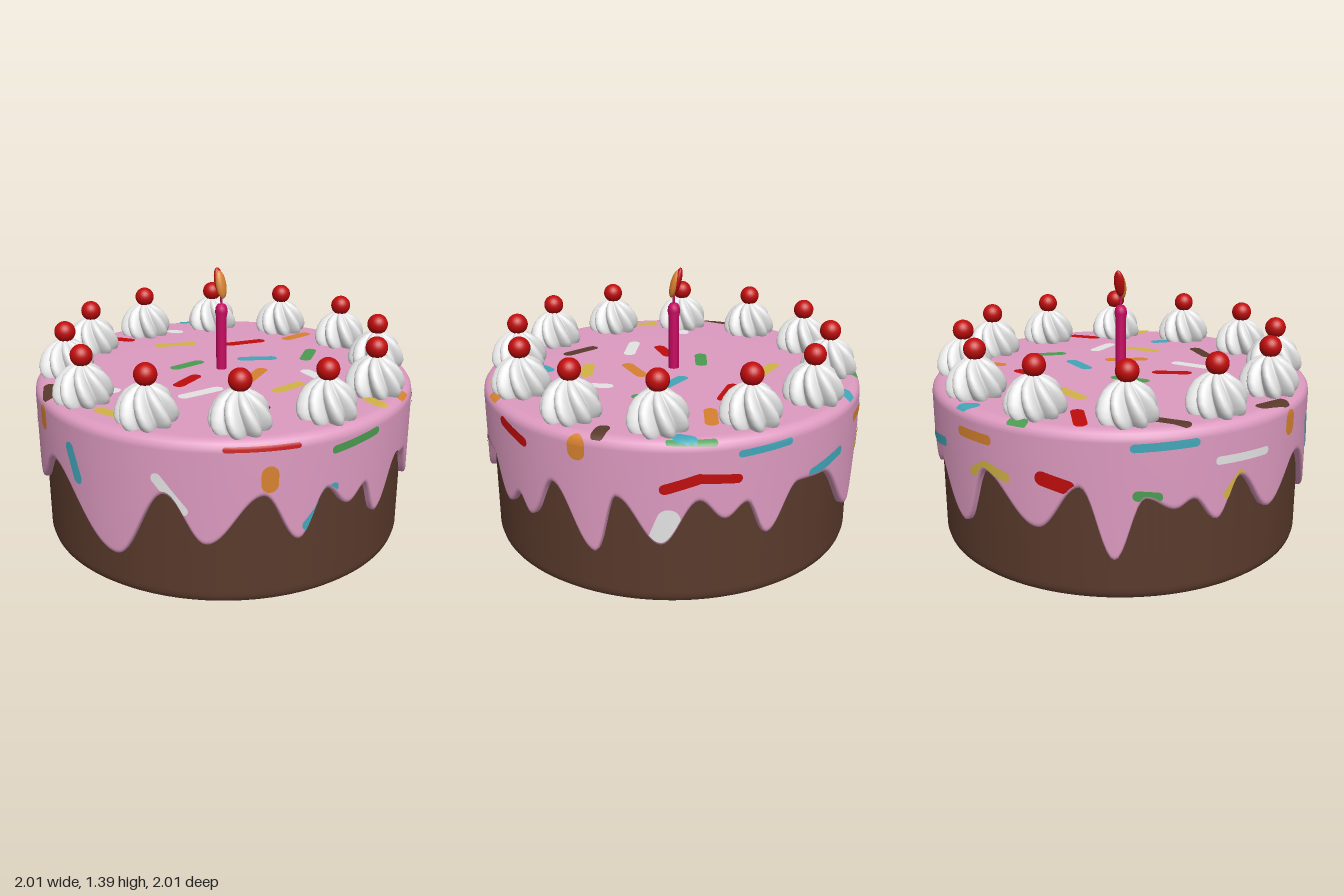
import * as THREE from 'three';

const mat = (name, color) => Object.assign(new THREE.MeshStandardMaterial({ color }), { name });
const RAD = Math.PI / 180;

// Drip outline of the icing: angle from the front in degrees, height of the lower edge
const DRIPS = [[-70, .21], [-55, .57], [-44, .33], [-29, .57], [-19, .33], [-11, .56], [-3.4, .45], [3, .52],
  [8, .34], [19, .56], [26, .55], [36, .35], [42, .43], [47, .35], [56, .57], [69, .26], [75, .56], [87, .33],
  [97, .55], [104, .45], [110, .52], [116, .34], [126, .56], [136, .55], [154, .26], [164, .57], [181, .35],
  [193, .57], [202, .22], [210, .52], [218, .46], [223, .5], [230, .38], [237, .57], [249, .36], [264, .56], [290, .21]];

function dripEdge(deg) {
  const a = ((deg + 70) % 360 + 360) % 360 - 70;
  let i = 0;
  while (i < DRIPS.length - 2 && DRIPS[i + 1][0] < a) i++;
  const [[a0, y0], [a1, y1]] = [DRIPS[i], DRIPS[i + 1]];
  const t = (a - a0) / (a1 - a0);
  return y0 + (y1 - y0) * (1 - Math.cos(Math.PI * t)) / 2;
}

// Rounded shoulder of the icing: radius, height
const SHOULDER = [[0, .845], [.5, .845], [.94, .845], [.965, .84], [.985, .828], [.996, .812], [1, .79]];

function shoulderY(r) {
  for (let i = 1; i < SHOULDER.length; i++) {
    const [r0, y0] = SHOULDER[i - 1], [r1, y1] = SHOULDER[i];
    if (r <= r1) return y0 + (y1 - y0) * (r - r0) / (r1 - r0);
  }
  return .79;
}

function shoulderR(y) {
  for (let i = SHOULDER.length - 1; i > 2; i--) {
    const [r0, y0] = SHOULDER[i - 1], [r1, y1] = SHOULDER[i];
    if (y <= y0) return y <= y1 ? 1 : r1 + (r0 - r1) * (y - y1) / (y0 - y1);
  }
  return .94;
}

// Surface of cols x rows points; with wrap, the last column joins the first
function grid(cols, rows, point, wrap) {
  const pos = [], idx = [];
  for (let i = 0; i < cols; i++) for (let j = 0; j < rows; j++) pos.push(...point(i, j));
  for (let i = 0; i < (wrap ? cols : cols - 1); i++) {
    for (let j = 0; j < rows - 1; j++) {
      const a = i * rows + j, d = ((i + 1) % cols) * rows + j;
      idx.push(a, a + 1, d + 1, a, d + 1, d);
    }
  }
  const g = new THREE.BufferGeometry();
  g.setAttribute('position', new THREE.Float32BufferAttribute(pos, 3));
  g.setIndex(idx);
  g.computeVertexNormals();
  return g;
}

function icingGeometry() {
  const N = 360;
  return grid(N, SHOULDER.length + 5, (i, j) => {
    const deg = i * 360 / N, e = dripEdge(deg);
    const lip = [[1, e + .03], [1, e + .018], [.995, e + .004], [.985, e], [.955, e]];
    const [r, y] = j < SHOULDER.length ? SHOULDER[j] : lip[j - SHOULDER.length];
    return [r * Math.sin(deg * RAD), y, r * Math.cos(deg * RAD)];
  }, true);
}

// Flat capsule from (u0,v0) to (u1,v1), laid on a surface by the map function
function sprinkleGeometry(u0, v0, u1, v1, w, map) {
  const len = Math.hypot(u1 - u0, v1 - v0) || 1e-4;
  const du = (u1 - u0) / len, dv = (v1 - v0) / len, h = w / 2;
  const stations = [];
  for (let k = 0; k <= 5; k++) stations.push([-h * Math.cos(k * Math.PI / 10), h * Math.sin(k * Math.PI / 10)]);
  for (let k = 1; k < 10; k++) stations.push([len * k / 10, h]);
  for (let k = 5; k >= 0; k--) stations.push([len + h * Math.cos(k * Math.PI / 10), h * Math.sin(k * Math.PI / 10)]);
  return grid(stations.length, 5, (i, j) => {
    const [t, half] = stations[i], s = half * (1 - j / 2);
    return map(u0 + du * t - dv * s, v0 + dv * t + du * s);
  }, false);
}

const onTop = (x, v) => {
  const r = Math.hypot(x, v), k = Math.min(r, .99) / (r || 1);
  return [x * k * 1.002, shoulderY(Math.min(r, .99)) + .004, -v * k * 1.002];
};
const onSide = (a, v) => {
  const y = Math.min(.84, Math.max(v, dripEdge(a / RAD) + .018)), r = shoulderR(y) + .004;
  return [r * Math.sin(a), y + .001, r * Math.cos(a)];
};

// Piped cream star: eight twisted ribs around a dome
function creamGeometry() {
  const profile = [[.0, 1.035], [.03, 1.03], [.06, 1.015], [.09, .99], [.112, .955], [.126, .915], [.13, .88], [.124, .855], [.115, .84]];
  const N = 96;
  return grid(N, profile.length, (i, j) => {
    const a = i / N * Math.PI * 2, [r, y] = profile[j];
    const rib = Math.abs(Math.cos(4 * a));
    const rr = r * (.8 + .36 * Math.pow(rib, 1.1)), twist = a + (1.035 - y) * 3;
    return [rr * Math.sin(twist), y, rr * Math.cos(twist)];
  }, true);
}

const lathe = (pts, seg) => new THREE.LatheGeometry(pts.map(p => new THREE.Vector2(...p)), seg);

export function createModel() {
  const M = {
    brown: mat('chocolate brown', 0x5a3a2c), pink: mat('icing pink', 0xdd9ac0), white: mat('cream white', 0xe4e4e4),
    red: mat('cherry red', 0xc00c0c), magenta: mat('candle magenta', 0xc80a62), orange: mat('orange', 0xd8822f),
    green: mat('green', 0x4a9c50), yellow: mat('yellow', 0xd2b445), cyan: mat('cyan', 0x42a6b8)
  };
  const model = new THREE.Group();
  const add = (name, geometry, material, parent = model) => {
    const m = new THREE.Mesh(geometry, material);
    m.name = name;
    parent.add(m);
    return m;
  };

  // Cake body and icing
  add('cakeBody', lathe([[0, 0], [.9, 0], [.925, 0], [.945, .005], [.958, .016], [.965, .04], [.965, .06], [.965, .8]], 128), M.brown);
  add('icing', icingGeometry(), M.pink);

  // Sprinkles on top: x0, z0, x1, z1
  const top = {
    red: [[-.2, -.9, -.11, -.75], [.3, -.31, .48, -.25], [-.35, .07, -.21, .02], [.44, .61, .57, .6]],
    brown: [[-.62, -.71, -.48, -.71], [-.34, .46, -.23, .58], [.85, .31, .91, .33], [-.87, -.33, -.94, -.21]],
    yellow: [[-.03, -.55, .13, -.46], [-.02, .45, .13, .45], [.23, .91, .24, .83], [-.85, .12, -.82, .22]],
    green: [[-.2, -.16, -.05, -.16], [.45, .17, .58, .08], [.06, -.97, .1, -.97]],
    cyan: [[.18, -.05, .31, .04], [0, .7, .05, .66], [.38, -.86, .44, -.88], [.95, -.03, .97, -.08]],
    orange: [[.64, -.18, .79, -.18], [-.03, .24, .13, .16], [.4, .88, .45, .87]],
    white: [[-.43, .22, -.24, .24], [.28, .48, .3, .33], [.2, -.74, .22, -.71], [-.67, -.07, -.65, -.07]]
  };
  // Sprinkles on the side: angle0, y0, angle1, y1, width
  const side = {
    red: [[-39, .805, -20, .805, .025], [36, .775, 46, .725, .05], [88, .615, 97, .665, .05], [97, .665, 107, .65, .045],
      [183, .6, 190, .57, .07]],
    green: [[-9, .75, 6, .775, .04], [89, .835, 101, .828, .025], [208, .54, 213, .53, .05]],
    orange: [[-27.5, .68, -27.5, .63, .08], [64.5, .79, 64.5, .76, .09], [155, .73, 166, .73, .05], [258, .77, 258, .72, .08]],
    white: [[-57, .65, -50, .5, .05], [89, .46, 87, .37, .11], [230, .67, 246, .66, .04]],
    cyan: [[-17, .4, -9, .56, .05], [108, .768, 122, .783, .035], [131, .58, 144, .62, .05], [207, .765, 223, .775, .04],
      [274, .68, 277, .54, .06]],
    brown: [[16, .45, 19, .55, .08]],
    yellow: [[160, .55, 165, .6, .05], [165, .6, 172, .57, .05], [233, .5, 237, .58, .05]]
  };
  const sprinkles = new THREE.Group();
  sprinkles.name = 'sprinkles';
  model.add(sprinkles);
  for (const c in top) for (const [x0, z0, x1, z1] of top[c])
    add('topSprinkle', sprinkleGeometry(x0, -z0, x1, -z1, .065, onTop), M[c], sprinkles);
  for (const c in side) for (const [a0, y0, a1, y1, w] of side[c])
    add('sideSprinkle', sprinkleGeometry(a0 * RAD, y0, a1 * RAD, y1, w, onSide), M[c], sprinkles);

  // Ring of twelve cream swirls, each with a cherry
  const cream = creamGeometry(), cherry = new THREE.SphereGeometry(.055, 24, 16);
  for (let k = 0; k < 12; k++) {
    const a = (-4.4 + 30 * k) * RAD, swirl = new THREE.Group();
    swirl.name = 'creamSwirl';
    swirl.position.set(.835 * Math.sin(a), 0, .835 * Math.cos(a));
    swirl.rotation.y = a;
    add('cream', cream, M.white, swirl);
    add('cherry', cherry, M.red, swirl).position.y = 1.072;
    model.add(swirl);
  }

  // Candle with wick and a leaning two-coloured flame
  const candle = new THREE.Group();
  candle.name = 'candle';
  candle.position.set(-.007, 0, -.01);
  add('candleStick', lathe([[.028, .83], [.028, 1.13], [.034, 1.16], [.03, 1.185], [.02, 1.2], [0, 1.203]], 20), M.magenta, candle);
  add('wick', new THREE.CylinderGeometry(.006, .006, .06, 8), M.magenta, candle).position.y = 1.22;
  const flame = (name, material, y, z, sx, sy, sz) => {
    const m = add(name, new THREE.SphereGeometry(1, 20, 14), material, candle);
    m.scale.set(sx, sy, sz);
    m.position.set(0, y, z);
    m.rotation.x = -.25;
  };
  flame('flameFront', M.orange, 1.305, -.003, .031, .075, .022);
  flame('flameBack', M.red, 1.32, -.019, .029, .073, .02);
  model.add(candle);
  return model;
}
